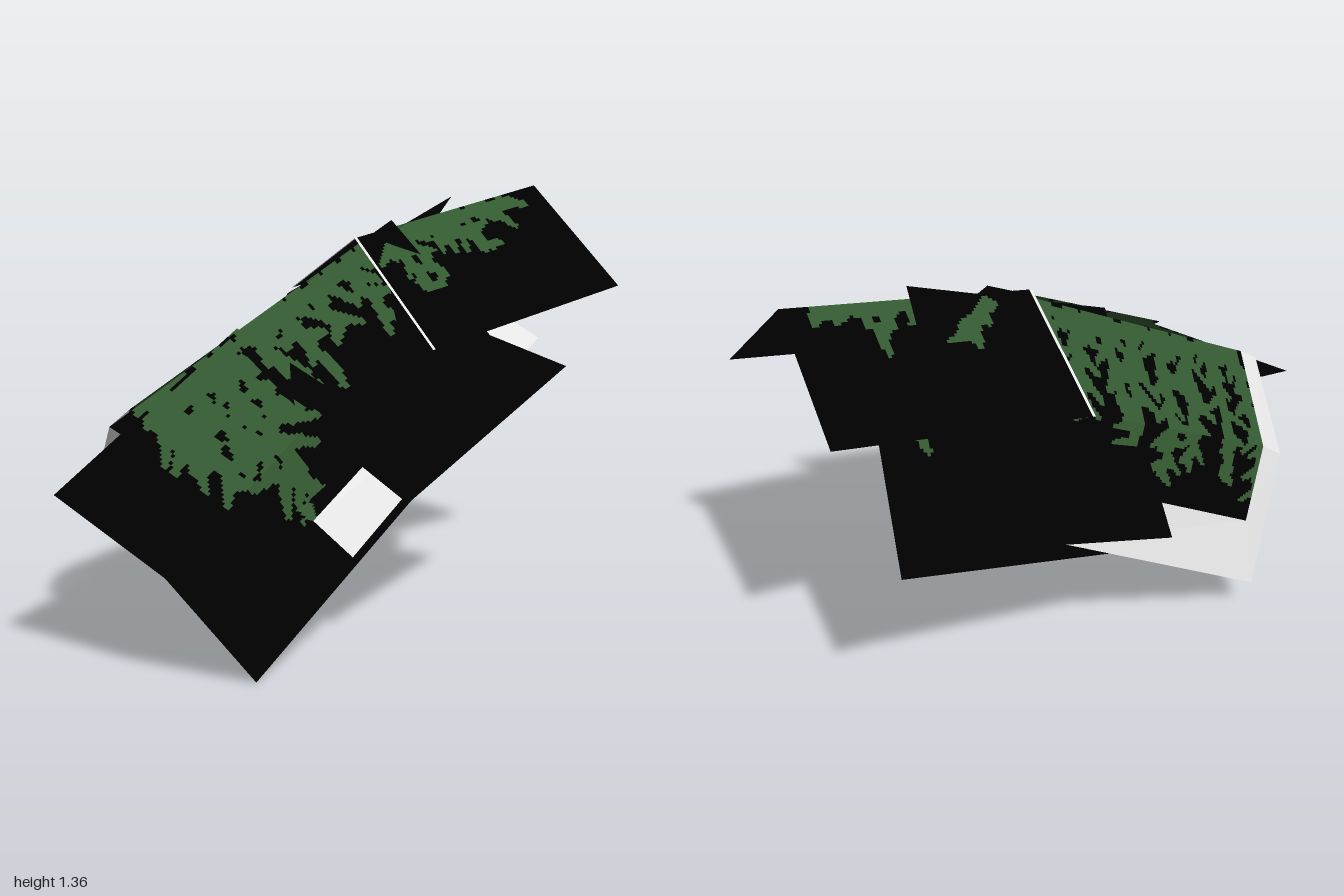
import * as THREE from 'three';

const mat = (name, color) => {
  const m = new THREE.MeshStandardMaterial({ color, side: THREE.DoubleSide });
  m.name = name;
  return m;
};

// Small seeded random generator
function seeded(seed) {
  let s = seed;
  return () => ((s = (s * 16807) % 2147483647) / 2147483647);
}

// Turns stems [s0, t0, s1, t1] into stems with tapering side leaflets
function sprays(stems, size, rand) {
  const blades = [];
  for (const [s0, t0, s1, t1] of stems) {
    const len = Math.hypot(s1 - s0, t1 - t0), a = Math.atan2(t1 - t0, s1 - s0);
    blades.push([s0, t0, s1, t1, 0.024]);
    const n = Math.max(3, Math.round(len / 0.04));
    for (let i = 0; i <= n; i++) {
      const k = i / n, side = i % 2 ? 1 : -1;
      const b = a + side * (0.35 + 0.9 * rand());
      const l = size * (0.4 + 0.9 * rand()) * (1 - 0.4 * k);
      const x = s0 + (s1 - s0) * k, y = t0 + (t1 - t0) * k;
      blades.push([x, y, x + l * Math.cos(b), y + l * Math.sin(b), 0.018 + 0.01 * rand()]);
    }
  }
  return blades;
}

function onBlade(s, t, [a, b, c, d, r]) {
  const dx = c - a, dy = d - b;
  const k = Math.min(1, Math.max(0, ((s - a) * dx + (t - b) * dy) / (dx * dx + dy * dy)));
  return Math.hypot(s - a - dx * k, t - b - dy * k) < r * (1.1 - 0.55 * k);
}

// Sheet between two bent end profiles, with leaf cells as a second material
function sheet(name, start, end, materials, stems = [], size = 0.12, seed = 7) {
  const from = start.map(p => new THREE.Vector3(...p));
  const to = end.map(p => new THREE.Vector3(...p));
  const panels = from.length - 1;
  const length = from[0].distanceTo(to[0]);
  let depth = 0;
  for (let i = 0; i < panels; i++) depth += from[i].distanceTo(from[i + 1]);
  const leafy = stems.length > 0;
  const nu = leafy ? Math.round(length / 0.011) : 1;
  const nv = leafy ? panels * Math.round(depth / panels / 0.011) : panels;
  const blades = sprays(stems, size, seeded(seed));
  const point = (u, v) => {
    const f = v * panels, i = Math.min(panels - 1, Math.floor(f + 1e-6));
    const a = from[i].clone().lerp(from[i + 1], f - i);
    return a.lerp(to[i].clone().lerp(to[i + 1], f - i), u);
  };
  const cells = [[], []];
  for (let i = 0; i < nu; i++) {
    for (let j = 0; j < nv; j++) {
      const s = (i + 0.5) / nu * length, t = (j + 0.5) / nv * depth;
      const green = blades.some(b => onBlade(s, t, b)) ? 1 : 0;
      const p = [[i, j], [i, j + 1], [i + 1, j + 1], [i + 1, j]].map(([x, y]) => point(x / nu, y / nv));
      for (const k of [0, 1, 2, 0, 2, 3]) cells[green].push(...p[k].toArray());
    }
  }
  const geo = new THREE.BufferGeometry();
  geo.setAttribute('position', new THREE.Float32BufferAttribute([...cells[0], ...cells[1]], 3));
  geo.addGroup(0, cells[0].length / 3, 0);
  if (cells[1].length) geo.addGroup(cells[0].length / 3, cells[1].length / 3, 1);
  geo.computeVertexNormals();
  const mesh = new THREE.Mesh(geo, materials);
  mesh.name = name;
  return mesh;
}

export function createModel() {
  const group = new THREE.Group();
  group.name = 'leafyBranch';
  const dark = mat('darkSheet', 0x000000);
  const green = mat('leafGreen', 0x335931);
  const white = mat('paleMargin', 0xe8e8e8);
  const leaf = [dark, green], pale = [white, white];
  const add = (...args) => group.add(sheet(...args));

  // Tip of the branch: two wings falling from a shared ridge
  const tipA = [0.15, 1.21, 0], tipB = [0.945, 1.36, 0.01];
  add('tipFrontWing', [tipA, [0.19, 0.88, 0.36]], [tipB, [0.99, 1.03, 0.39]], leaf,
    [[0.13, 0.02, 0.66, 0.04], [0.11, 0.03, 0.13, 0.26], [0.17, 0.03, 0.2, 0.24],
      [0.36, 0.04, 0.46, 0.18], [0.28, 0.04, 0.32, 0.1], [0.5, 0.04, 0.58, 0.08]], 0.09, 11);
  add('tipBackWing', [tipA, [0.2, 1.0, -0.44]], [tipB, [1.0, 1.15, -0.42]], leaf,
    [[0.16, 0.04, 0.28, 0.15], [0.36, 0.02, 0.7, 0.03], [0.48, 0.03, 0.54, 0.13]], 0.09, 23);

  // Pale margin along the start of the tip
  add('tipFrontMargin', [[0.14, 1.208, 0], [0.18, 0.878, 0.36]], [tipA, [0.19, 0.88, 0.36]], pale);
  add('tipBackMargin', [[0.14, 1.208, 0], [0.19, 0.998, -0.44]], [tipA, [0.2, 1.0, -0.44]], pale);

  // Middle of the branch: drooping bent wings full of leaves
  const midB = [0.16, 1.19, 0];
  const backA = [[-0.71, 0.735, 0], [-0.57, 0.56, -0.32], [-0.45, 0.345, -0.4]];
  const backEdgeB = [0.38, 0.83, -0.385];
  const rand = seeded(97), backStems = [[0.05, 0.03, 0.95, 0.03]];
  for (let s = 0.05; s < 0.95; s += 0.125) {
    backStems.push([s, 0.02, s + 0.16 * (rand() - 0.4), (s < 0.6 ? 0.42 : 0.28) + 0.12 * rand()]);
  }
  add('middleBackWing', backA, [midB, [0.28, 1.0, -0.32], backEdgeB], leaf, backStems, 0.12, 31);
  const frontEdgeA = [-0.33, 0.42, 0.42], frontEdgeB = [0.55, 0.955, 0.28];
  add('middleFrontWing', [[-0.78, 0.69, 0], [-0.58, 0.5, 0.28], frontEdgeA],
    [midB, [0.3, 1.0, 0.24], frontEdgeB], leaf,
    [[0.1, 0.03, 0.95, 0.03], [0.12, 0.04, 0.05, 0.62], [0.25, 0.04, 0.16, 0.48],
      [0.38, 0.04, 0.32, 0.34], [0.55, 0.04, 0.52, 0.2]], 0.12, 43);

  // Pale margins around the middle wings
  const outer = [[-0.78, 0.69, 0], [-0.65, 0.5, -0.32], [-0.45, 0.115, -0.455]];
  add('backEndMargin', outer, backA, pale);
  add('backLowerMargin', [backA[2], outer[2]], [backEdgeB, [0.33, 0.59, -0.43]], pale);
  add('frontLowerMargin', [frontEdgeA, [-0.25, 0.315, 0.51]], [frontEdgeB, [0.62, 0.88, 0.38]], pale);

  // Base of the branch: drooping wing in front
  add('baseFrontWing', [[-1, 0.53, 0.07], [-0.82, 0.33, 0.39], [-0.59, 0, 0.5]],
    [[-0.33, 0.95, 0.01], [-0.16, 0.77, 0.31], [0.06, 0.43, 0.42]], leaf,
    [[0.36, 0.04, 0.76, 0.03], [0.37, 0.06, 0.33, 0.26], [0.43, 0.06, 0.36, 0.38],
      [0.52, 0.06, 0.46, 0.5], [0.6, 0.08, 0.52, 0.58], [0.68, 0.06, 0.64, 0.36]], 0.13, 59);

  // Side sprays
  add('frontSpray', [[-0.38, 0.93, 0.04], [-0.25, 0.66, 0.36], [-0.14, 0.49, 0.63]],
    [[0.295, 1.262, 0], [0.44, 0.9, 0.34], [0.55, 0.82, 0.58]], leaf,
    [[0.03, 0.03, 0.58, 0.03], [0.06, 0.04, 0.08, 0.22], [0.18, 0.04, 0.2, 0.24],
      [0.32, 0.04, 0.32, 0.15], [0.48, 0.04, 0.5, 0.2]], 0.11, 67);
  add('upperBackSpray', [[-0.15, 1.05, 0.03], [-0.01, 0.56, -0.57]],
    [[0.56, 1.332, 0], [0.7, 0.84, -0.63]], leaf);
  add('lowerBackSpray', [[-0.02, 1.03, 0], [0.1, 0.44, -0.41]],
    [[0.72, 1.28, 0], [0.86, 0.71, -0.485]], leaf,
    [[0.1, 0.04, 0.7, 0.04], [0.6, 0.05, 0.64, 0.34], [0.3, 0.05, 0.34, 0.25]], 0.09, 71);

  // Spray hanging underneath, facing the tip
  add('hangingSpray', [[-0.09, 0.95, 0], [0.06, 0.435, -0.4]],
    [[0.33, 0.885, 0.31], [0.47, 0.375, -0.1]], leaf,
    [[0.03, 0.05, 0.42, 0.05], [0.06, 0.05, 0.1, 0.28], [0.18, 0.05, 0.22, 0.42],
      [0.3, 0.05, 0.32, 0.26], [0.1, 0.1, 0.26, 0.34]], 0.13, 79);
  return group;
}
